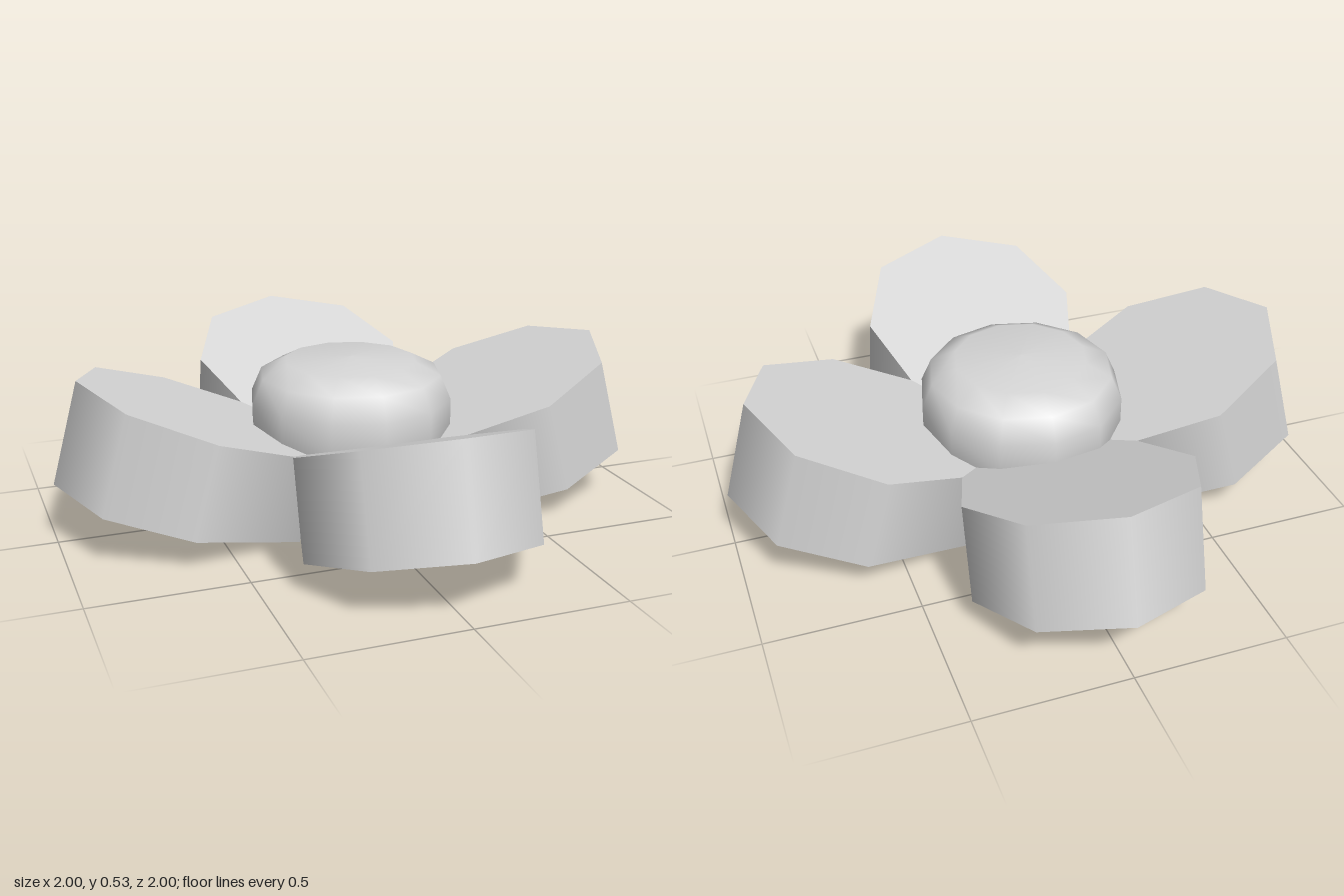
import * as THREE from 'three';

const RADIUS = 0.378, THICK = 0.312, TILT = 0.267, SLOPE = 0.086;

// Octagonal block, squared off at its inner end and thinner towards it
function petalGeometry() {
  const geo = new THREE.CylinderGeometry(RADIUS, RADIUS, THICK, 8);
  geo.translate(0, THICK / 2, 0);
  const pos = geo.attributes.position, normal = geo.attributes.normal;
  const up = new THREE.Vector3(0, 1, -SLOPE).normalize();
  for (let i = 0; i < pos.count; i++) {
    if (pos.getZ(i) < -0.1) pos.setZ(i, -RADIUS);
    if (pos.getY(i) > 0.1) pos.setY(i, THICK + SLOPE * pos.getZ(i));
    if (normal.getY(i) > 0.5) normal.setXYZ(i, up.x, up.y, up.z);
  }
  return geo;
}

export function createModel() {
  const model = new THREE.Group();
  model.name = 'flower';
  const grey = new THREE.MeshStandardMaterial({ color: 0xd6d6d6 });
  grey.name = 'light grey';

  // Four petals leaning outwards around the centre
  const geo = petalGeometry();
  ['front', 'left', 'back', 'right'].forEach((side, i) => {
    const petal = new THREE.Mesh(geo, grey);
    petal.name = side + 'Petal';
    petal.position.set(0, 0.103, 0.635);
    petal.rotation.x = -TILT;
    const arm = new THREE.Group();
    arm.name = side + 'PetalArm';
    arm.rotation.y = i * Math.PI / 2;
    arm.add(petal);
    model.add(arm);
  });

  // Cushion-shaped centre, twelve sides, smooth, with a nearly flat underside
  const profile = [
    [0, 0.27], [0.32, 0.265], [0.34, 0.285],
    [0.34, 0.395], [0.305, 0.475], [0.22, 0.518], [0, 0.528],
  ].map(([r, y]) => new THREE.Vector2(r, y));
  const centre = new THREE.Mesh(new THREE.LatheGeometry(profile, 12), grey);
  centre.name = 'flowerCentre';
  model.add(centre);

  return model;
}
